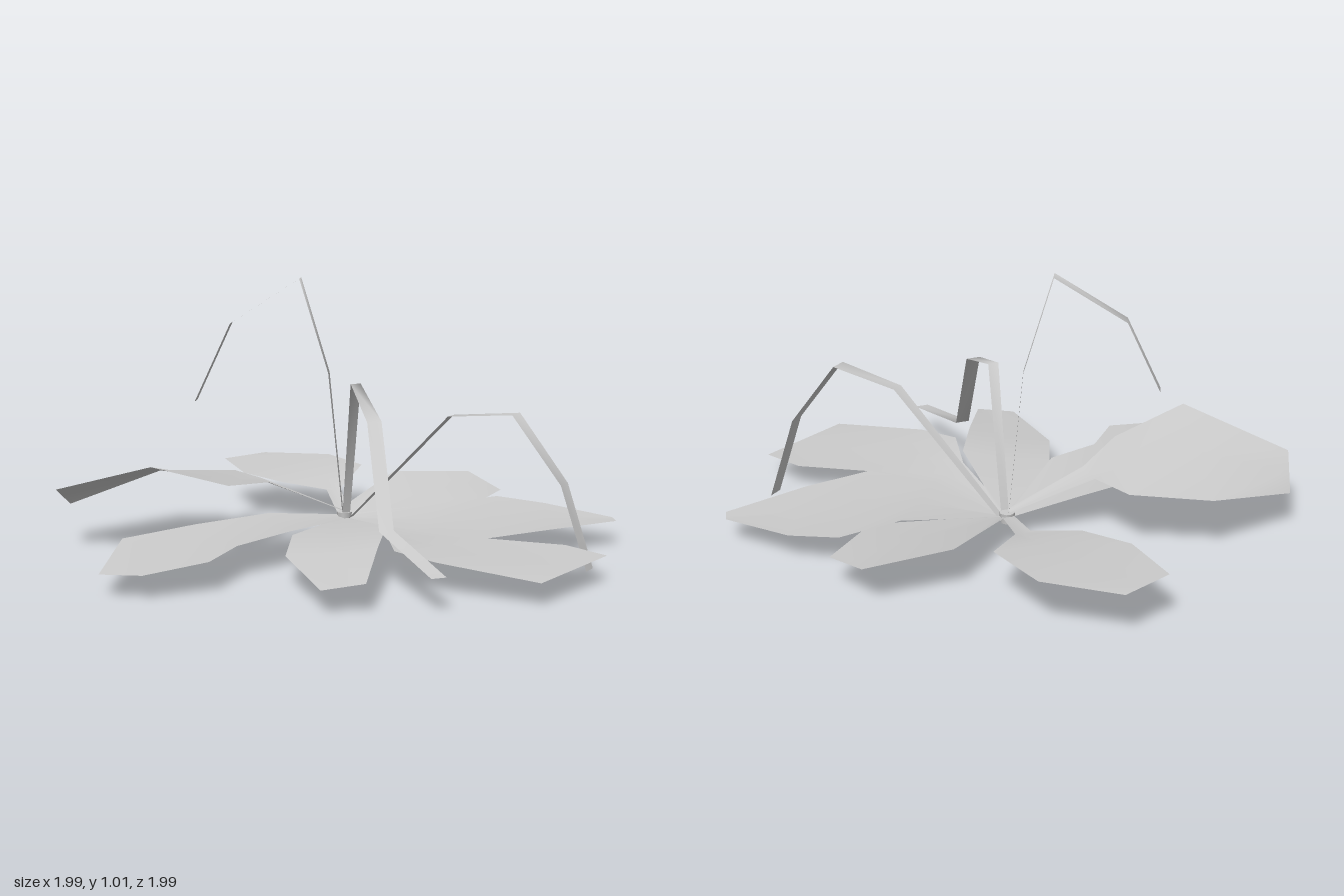
import * as THREE from 'three';

const material = new THREE.MeshStandardMaterial({ color: 0xcccccc, side: THREE.DoubleSide });

// Skin a sheet through rows of points; each row runs from the left edge to the right.
function sheet(name, rows) {
  const n = rows[0].length;
  const index = [];
  for (let r = 0; r < rows.length - 1; r++) {
    for (let c = 0; c < n - 1; c++) {
      const a = r * n + c, b = a + n;
      index.push(a, a + 1, b, a + 1, b + 1, b);
    }
  }
  const geometry = new THREE.BufferGeometry();
  geometry.setAttribute('position', new THREE.Float32BufferAttribute(rows.flat(2), 3));
  geometry.setIndex(index);
  geometry.computeVertexNormals();
  const mesh = new THREE.Mesh(geometry, material);
  mesh.name = name;
  return mesh;
}

// A leaf is a list of [left edge, right edge] pairs with a slightly sunken midrib.
function leaf(name, pairs, sag = 0.01) {
  return sheet(name, pairs.map(([l, r], i) => {
    const mid = l.map((v, k) => (v + r[k]) / 2);
    if (i > 0 && i < pairs.length - 1) mid[1] -= sag;
    return [l, mid, r];
  }));
}

// A stalk is a flat ribbon: [x, y, z, width] along its path, widened across (sx, sz).
function stalk(name, path, sx, sz) {
  return sheet(name, path.map(([x, y, z, w]) => {
    const dx = sx * w / 2, dz = sz * w / 2;
    return [[x - dx, y, z - dz], [x + dx, y, z + dz]];
  }));
}

export function createModel() {
  const group = new THREE.Group();
  group.name = 'rosettePlant';

  // Leaves around the crown
  group.add(
    leaf('backLeaf', [
      [[0.13, 0.1, -0.16], [0.17, 0.1, -0.14]],
      [[0.22, 0.15, -0.38], [0.28, 0.15, -0.37]],
      [[0.1, 0.17, -0.52], [0.48, 0.2, -0.51]],
      [[0.04, 0.18, -0.72], [0.49, 0.2, -0.77]],
      [[0.1, 0.19, -0.98], [0.31, 0.19, -1.0]],
    ], 0.005),
    leaf('rightLeaf', [
      [[0.14, 0.1, -0.17], [0.15, 0.09, -0.13]],
      [[0.21, 0.13, -0.21], [0.22, 0.1, -0.11]],
      [[0.56, 0.185, -0.39], [0.61, 0.12, 0.06]],
      [[0.87, 0.165, -0.29], [0.87, 0.125, -0.08]],
    ]),
    leaf('frontRightLeaf', [
      [[0.16, 0.1, -0.16], [0.14, 0.09, -0.14]],
      [[0.52, 0.13, 0.0], [0.2, 0.11, 0.24]],
      [[0.77, 0.13, 0.02], [0.35, 0.11, 0.475]],
      [[0.89, 0.115, 0.17], [0.62, 0.11, 0.5]],
      [[0.99, 0.1, 0.45], [0.96, 0.1, 0.505]],
    ]),
    leaf('frontLeaf', [
      [[0.17, 0.09, -0.15], [0.13, 0.09, -0.15]],
      [[0.2, 0.11, 0.24], [0.04, 0.13, 0.28]],
      [[0.35, 0.11, 0.47], [-0.08, 0.13, 0.5]],
      [[0.54, 0.105, 0.69], [-0.03, 0.12, 0.67]],
      [[0.575, 0.1, 0.87], [0.17, 0.09, 0.99]],
    ]),
    leaf('frontLeftLeaf', [
      [[0.16, 0.09, -0.14], [0.14, 0.09, -0.16]],
      [[0.02, 0.165, 0.31], [-0.24, 0.125, 0.09]],
      [[-0.15, 0.155, 0.5], [-0.39, 0.11, 0.28]],
      [[-0.36, 0.11, 0.73], [-0.49, 0.09, 0.655]],
    ]),
    leaf('leftLeaf', [
      [[0.15, 0.09, -0.13], [0.15, 0.1, -0.17]],
      [[-0.25, 0.14, 0.09], [-0.14, 0.13, -0.235]],
      [[-0.49, 0.125, 0.117], [-0.45, 0.125, -0.25]],
      [[-0.67, 0.12, 0.235], [-0.75, 0.11, -0.26]],
      [[-0.9, 0.095, 0.185], [-1.0, 0.085, 0.055]],
    ]),
    leaf('backLeftLeaf', [
      [[0.14, 0.12, -0.14], [0.15, 0.12, -0.17]],
      [[-0.14, 0.25, -0.235], [-0.11, 0.245, -0.34]],
      [[-0.37, 0.28, -0.145], [-0.12, 0.245, -0.52]],
      [[-0.65, 0.37, -0.22], [-0.34, 0.235, -0.725]],
      [[-0.86, 0.245, -0.585], [-0.74, 0.15, -0.72]],
    ], 0.005),
  );

  // Arching flat stalks
  group.add(
    stalk('tallStalk', [
      [0.15, 0.08, -0.155, 0.03],
      [0.095, 0.66, -0.175, 0.045],
      [0.005, 1.02, -0.235, 0.06],
      [-0.21, 0.85, -0.385, 0.06],
      [-0.35, 0.56, -0.415, 0.06],
    ], -0.65, 0.76),
    stalk('leftStalk', [
      [0.15, 0.08, -0.14, 0.03],
      [0.095, 0.64, 0.005, 0.04],
      [-0.02, 0.55, 0.29, 0.055],
      [-0.1, 0.2, 0.48, 0.055],
      [-0.163, 0.13, 0.865, 0.055],
    ], -0.97, -0.24),
    stalk('rightStalk', [
      [0.16, 0.08, -0.14, 0.03],
      [0.355, 0.53, 0.25, 0.05],
      [0.45, 0.565, 0.51, 0.065],
      [0.555, 0.32, 0.66, 0.06],
      [0.632, 0.005, 0.72, 0.06],
    ], -0.9, 0.4),
  );

  // Small root crown under the leaves
  const crown = new THREE.Mesh(new THREE.CylinderGeometry(0.03, 0.025, 0.04, 8), material);
  crown.name = 'crown';
  crown.position.set(0.15, 0.095, -0.15);
  group.add(crown);
  return group;
}
